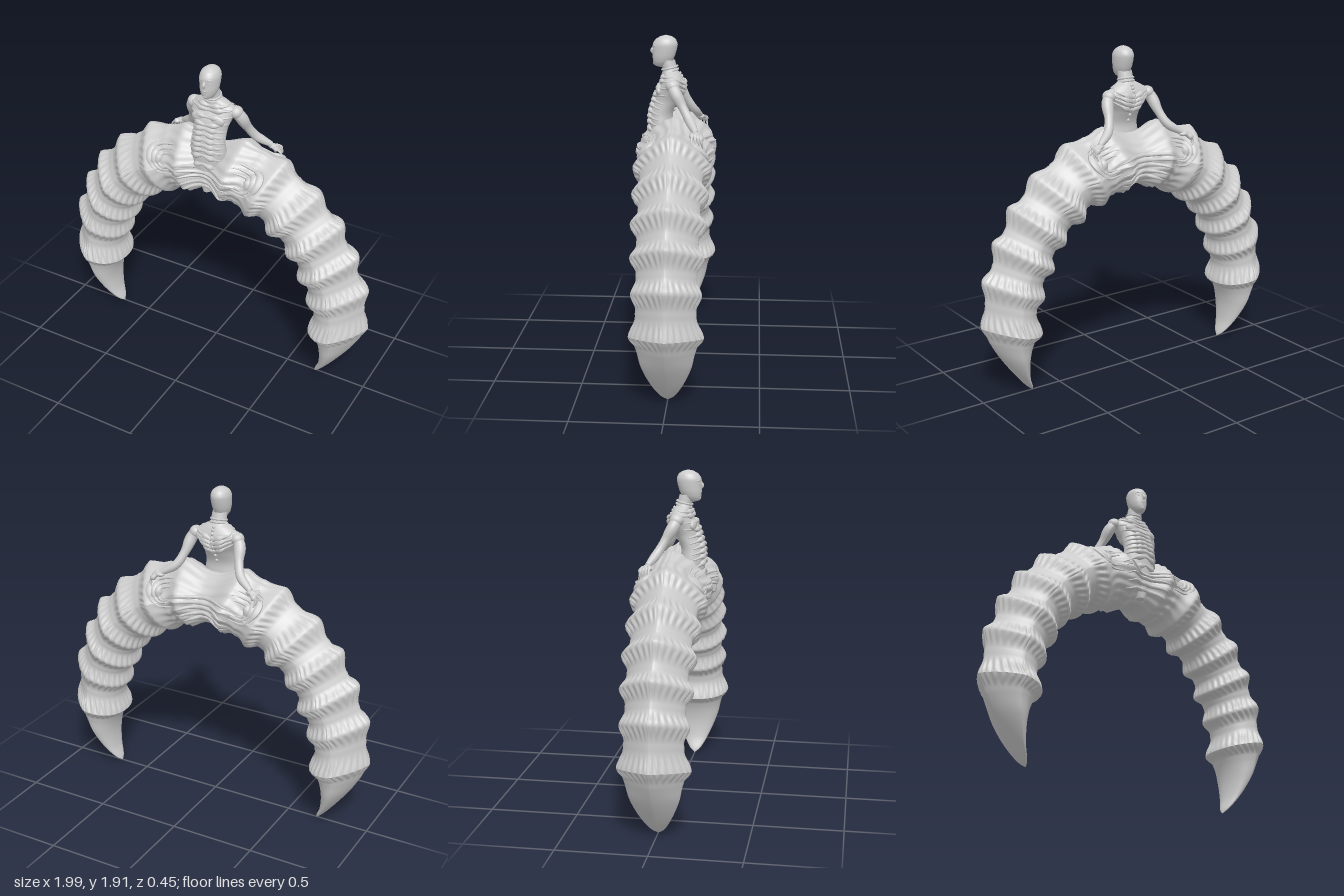
import * as THREE from 'three';

const V = (x, y, z) => new THREE.Vector3(x, y, z);
const material = new THREE.MeshStandardMaterial({ color: 0xcccccc, side: THREE.DoubleSide });

function addMesh(parent, name, geometry) {
  const mesh = new THREE.Mesh(geometry, material);
  mesh.name = name;
  parent.add(mesh);
  return mesh;
}

// Skin over rings: closed in u, open in v
function skin(nu, nv, point) {
  const pos = [], idx = [];
  for (let j = 0; j <= nv; j++) {
    for (let i = 0; i < nu; i++) pos.push(...point((i / nu) * Math.PI * 2, j / nv).toArray());
  }
  for (let j = 0; j < nv; j++) {
    for (let i = 0; i < nu; i++) {
      const a = j * nu + i, b = j * nu + (i + 1) % nu;
      idx.push(a, b, a + nu, b, b + nu, a + nu);
    }
  }
  const g = new THREE.BufferGeometry();
  g.setAttribute('position', new THREE.Float32BufferAttribute(pos, 3));
  g.setIndex(idx);
  g.computeVertexNormals();
  return g;
}

// Arch stations from the centre to the claw tip: outer x, y, inner x, y, half depth
const HALF = [
  [0, 1.42, 0, 1.12, 0.15],
  [0.19, 1.475, 0.1, 1.085, 0.218],
  [0.31, 1.43, 0.17, 1.08, 0.185],
  [0.44, 1.41, 0.24, 1.03, 0.22],
  [0.52, 1.315, 0.33, 1.035, 0.172],
  [0.65, 1.265, 0.37, 0.955, 0.21],
  [0.715, 1.145, 0.45, 0.94, 0.168],
  [0.8, 1.105, 0.49, 0.85, 0.205],
  [0.83, 0.975, 0.555, 0.81, 0.166],
  [0.905, 0.92, 0.56, 0.715, 0.2],
  [0.912, 0.79, 0.62, 0.67, 0.163],
  [0.98, 0.71, 0.62, 0.57, 0.19],
  [0.965, 0.58, 0.67, 0.5, 0.163],
  [0.995, 0.445, 0.645, 0.375, 0.202],
  [0.95, 0.355, 0.695, 0.32, 0.16],
  [0.89, 0.25, 0.722, 0.22, 0.135],
  [0.8, 0.125, 0.715, 0.1, 0.085],
  [0.72, 0.03, 0.688, 0.025, 0.035],
  [0.683, 0, 0.683, 0, 0],
];
const LAST = HALF.length - 1, CLAW = 13;
const stations = [
  ...HALF.slice(1).reverse().map(([a, b, c, d, w]) => [-a, b, -c, d, w]),
  ...HALF,
];
const outer = new THREE.CatmullRomCurve3(stations.map(([x, y, , , w]) => V(x, y, w)));
const inner = new THREE.CatmullRomCurve3(stations.map(([, , x, y, w]) => V(x, y, w)));

const power = (v, e) => Math.sign(v) * Math.abs(v) ** e;

// Point on the arch at station s (-LAST..LAST) and angle a around the section
function archPoint(a, s) {
  const t = THREE.MathUtils.clamp((s + LAST) / (2 * LAST), 0, 1);
  const o = outer.getPoint(t), i = inner.getPoint(t);
  const w = Math.max(0, o.z);
  const ca = Math.cos(a), sa = Math.sin(a), e = ca > 0 ? 1.5 : 0.95;
  const m = Math.abs(s);
  // Crisp lip at each ridge, fringes beside it, long ribs across the middle
  let swell = 0;
  if (m < CLAW + 1) {
    const d = Math.abs((m % 2) - 1);
    const fade = Math.min(1, 3 * Math.abs(sa));
    swell = -0.05 * Math.sin(Math.PI * d);
    if (m < 3) swell += fade * 0.02 * Math.cos(20 * a + 1.5 * Math.cos(m * Math.PI)) * Math.min(1, 3 - m);
    else swell += fade * 0.03 * Math.cos(30 * a + 5 * d * sa) * Math.sin(Math.PI * Math.min(1, d * 1.5));
  }
  const f = 0.5 * power(ca, e) * (1 + swell);
  return V(
    (o.x + i.x) / 2 + (o.x - i.x) * f,
    (o.y + i.y) / 2 + (o.y - i.y) * f,
    w * power(sa, e) * (1 + swell),
  );
}

const archPart = (from, to, nv) => skin(180, nv, (a, v) => archPoint(a, from + (to - from) * v));

// Upright loft through rows of y, centre z, half width, half depth
function loftSection(rows) {
  const centre = new THREE.CatmullRomCurve3(rows.map(([y, z]) => V(0, y, z)));
  const size = new THREE.CatmullRomCurve3(rows.map(([, , w, d]) => V(w, d, 0)));
  return (a, v) => {
    const c = centre.getPoint(v), r = size.getPoint(v);
    return V(r.x * Math.sin(a), c.y, c.z + r.y * Math.cos(a));
  };
}

// Tapered tube along a path
function limb(points, radii, sides = 14, steps = 28) {
  const path = new THREE.CatmullRomCurve3(points);
  const g = new THREE.TubeGeometry(path, steps, 1, sides);
  const p = g.attributes.position, v = V(0, 0, 0);
  const taper = new THREE.CatmullRomCurve3(radii.map((r) => V(r, 0, 0)));
  for (let i = 0; i < p.count; i++) {
    const t = Math.floor(i / (sides + 1)) / steps, c = path.getPointAt(t);
    v.fromBufferAttribute(p, i).sub(c).multiplyScalar(Math.max(0.0005, taper.getPoint(t).x)).add(c);
    p.setXYZ(i, v.x, v.y, v.z);
  }
  g.computeVertexNormals();
  return g;
}

function ball(parent, name, x, y, z, rx, ry, rz) {
  const m = addMesh(parent, name, new THREE.SphereGeometry(1, 16, 12));
  m.position.set(x, y, z);
  m.scale.set(rx, ry, rz);
}

const TORSO = [
  [1.14, 0.08, 0.03, 0.05], [1.27, 0.08, 0.085, 0.07], [1.4, 0.085, 0.108, 0.069],
  [1.47, 0.085, 0.1, 0.067], [1.54, 0.06, 0.1, 0.072], [1.6, 0.035, 0.118, 0.08],
  [1.65, 0.02, 0.138, 0.064], [1.688, 0.024, 0.09, 0.05], [1.715, 0.035, 0.047, 0.042],
  [1.77, 0.05, 0.042, 0.042],
];
const HEAD = [
  [1.728, 0.085, 0.004, 0.006], [1.738, 0.083, 0.028, 0.04], [1.76, 0.078, 0.043, 0.054],
  [1.79, 0.072, 0.052, 0.063], [1.825, 0.066, 0.056, 0.068], [1.855, 0.063, 0.057, 0.071],
  [1.885, 0.06, 0.047, 0.058], [1.903, 0.058, 0.024, 0.03], [1.91, 0.058, 0.002, 0.002],
];

export function createModel() {
  const model = new THREE.Group();
  model.name = 'archedRider';

  addMesh(model, 'ridgedArch', archPart(-CLAW, CLAW, 208));
  addMesh(model, 'leftClaw', archPart(CLAW, LAST, 36));
  addMesh(model, 'rightClaw', archPart(-LAST, -CLAW, 36));

  const figure = new THREE.Group();
  figure.name = 'figure';
  model.add(figure);
  const torsoAt = loftSection(TORSO);
  addMesh(figure, 'torso', skin(40, 56, torsoAt));
  addMesh(figure, 'head', skin(32, 32, loftSection(HEAD)));

  // Raised bands lying on the torso; drop bends the middle down
  const band = (name, v, drop, r, mid = 0, spread = 1.5) => {
    const pts = [];
    for (let i = -6; i <= 6; i++) {
      const q = i / 6;
      pts.push(torsoAt(mid + q * spread, v - drop * (1 - Math.abs(q))));
    }
    addMesh(figure, name, limb(pts, [r * 0.3, r, r, r, r * 0.3], 8, 30));
  };
  for (let i = 0; i < 7; i++) band('bellyRib', 0.13 + i * 0.05, -0.04, 0.008);
  for (const v of [0.52, 0.6]) band('chestBand', v, 0.01, 0.007);
  for (const v of [0.7, 0.76]) band('collarBand', v, 0.03, 0.008, 0, 1.7);
  for (let i = 0; i < 4; i++) band('backStrap', 0.58 + i * 0.055, 0.13, 0.008, Math.PI, 1.3);

  // Chevron ribs spreading from the belly along the arch, front and back
  for (const face of [1, -1]) {
    for (let i = 0; i < 5; i++) {
      const pts = [];
      for (let j = -6; j <= 6; j++) {
        pts.push(archPoint(face * (1.15 + i * 0.24 + 0.035 * Math.abs(j)), j * 0.24));
      }
      addMesh(model, 'chevronRib', limb(pts, [0.002, 0.01, 0.013, 0.01, 0.002], 8, 48));
    }
  }

  // Neck rings
  for (const [y, z] of [[1.708, 0.033], [1.725, 0.038]]) {
    const ring = addMesh(figure, 'neckRing', new THREE.TorusGeometry(0.045, 0.006, 8, 32));
    ring.rotation.x = Math.PI / 2 + 0.25;
    ring.position.set(0, y, z);
  }
  // Spine knobs
  for (let i = 0; i < 9; i++) {
    const p = torsoAt(Math.PI, 0.36 + i * 0.055);
    ball(figure, 'spineKnob', p.x, p.y, p.z, 0.01, 0.011, 0.008);
  }

  // Face
  addMesh(figure, 'nose', limb([V(0, 1.845, 0.128), V(0, 1.82, 0.14), V(0, 1.805, 0.133)], [0.005, 0.009, 0.004], 10, 10));
  ball(figure, 'upperLip', 0, 1.787, 0.131, 0.015, 0.005, 0.006);
  ball(figure, 'lowerLip', 0, 1.777, 0.128, 0.013, 0.005, 0.006);
  ball(figure, 'chin', 0, 1.752, 0.12, 0.017, 0.013, 0.012);

  for (const s of [-1, 1]) {
    const side = s > 0 ? 'left' : 'right';
    ball(figure, side + 'Eye', s * 0.024, 1.832, 0.121, 0.011, 0.006, 0.006);
    addMesh(figure, side + 'Brow', limb([V(s * 0.006, 1.847, 0.129), V(s * 0.026, 1.852, 0.123), V(s * 0.046, 1.843, 0.101)], [0.003, 0.006, 0.002], 8, 10));
    ball(figure, side + 'Chest', s * 0.052, 1.6, 0.092, 0.05, 0.034, 0.022);
    ball(figure, side + 'Shoulder', s * 0.132, 1.638, 0.012, 0.038, 0.036, 0.04);
    // Arms reach back and out to rest on the arch
    addMesh(figure, side + 'Arm', limb(
      [V(s * 0.11, 1.655, 0.018), V(s * 0.15, 1.61, 0), V(s * 0.172, 1.53, -0.045), V(s * 0.205, 1.46, -0.085), V(s * 0.285, 1.405, -0.125)],
      [0.03, 0.034, 0.025, 0.026, 0.016]));
    ball(figure, side + 'Hand', s * 0.295, 1.396, -0.128, 0.032, 0.015, 0.022);
    for (let i = 0; i < 4; i++) {
      const z = -0.108 - i * 0.014, reach = 0.36 - i * 0.012;
      addMesh(figure, side + 'Finger', limb(
        [V(s * 0.3, 1.398, z), V(s * 0.335, 1.39 - i * 0.009, z - i * 0.003), V(s * reach, 1.365 - i * 0.013, z - i * 0.006)],
        [0.008, 0.008, 0.003], 8, 10));
    }
    // Ridge lines framing the panels beside the waist, front and back
    for (const face of [1, -1]) {
      for (let i = 0; i < 3; i++) {
        const pts = [[0.9, 0.8], [1.5, 0.75], [2.5, 0.8], [2.7, 1.2], [2.4, 1.65], [1.5, 1.75]].map(([st, a]) =>
          archPoint(face * (1.22 + (a - 1.22) * (1 - i * 0.27)), s * (1.8 + (st - 1.8) * (1 - i * 0.25))));
        addMesh(model, side + 'PanelRidge', limb(pts, [0.003, 0.009, 0.009, 0.003], 8, 36));
      }
    }
  }
  return model;
}
